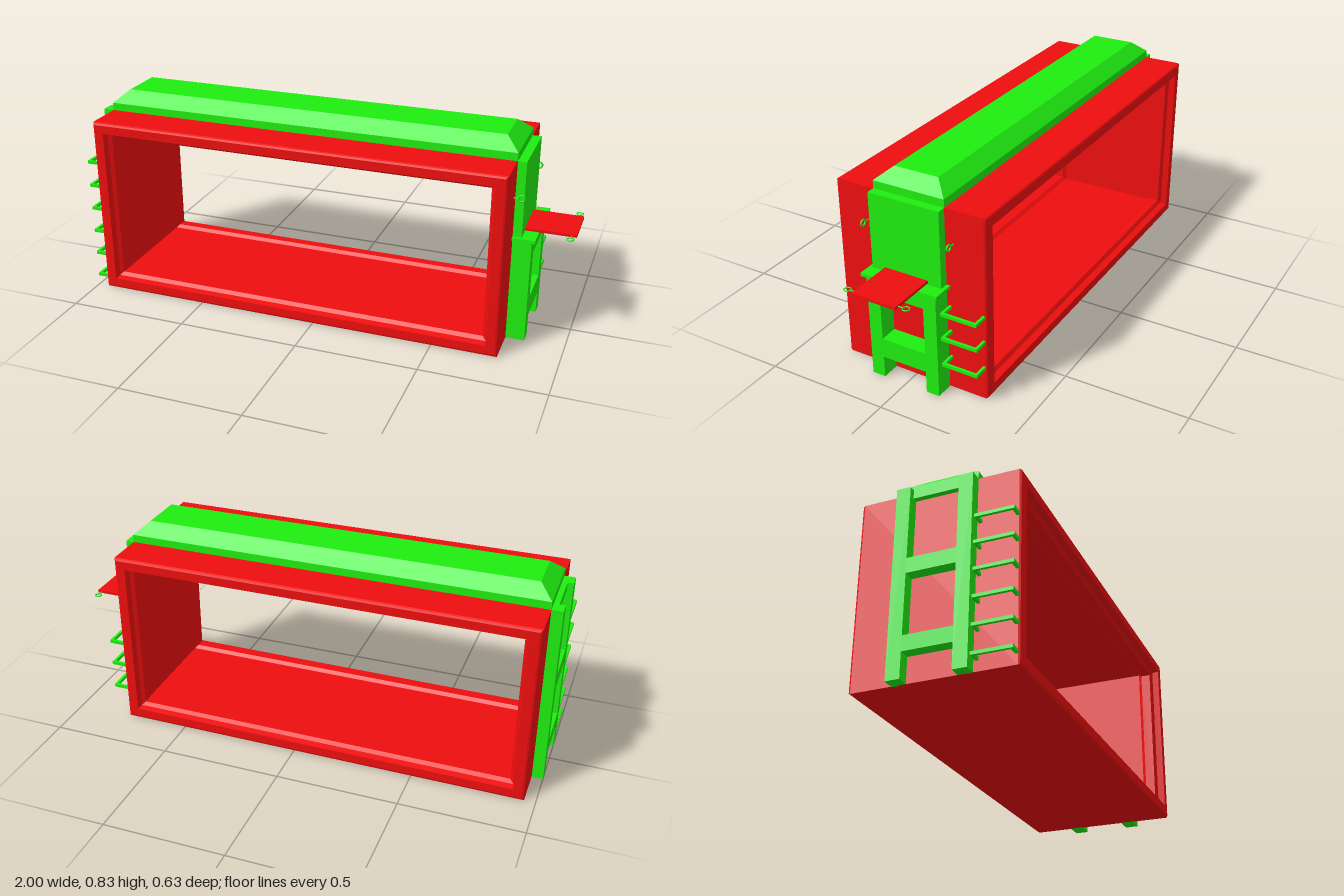
import * as THREE from 'three';

const red = new THREE.MeshStandardMaterial({ color: 0xee0e0e });
const green = new THREE.MeshStandardMaterial({ color: 0x1fee10 });

export function createModel() {
  const model = new THREE.Group();

  function add(name, geometry, material, parent = model) {
    const mesh = new THREE.Mesh(geometry, material);
    mesh.name = name;
    parent.add(mesh);
    return mesh;
  }

  // box given by its limits on each axis
  function box(name, [x0, x1], [y0, y1], [z0, z1], material, parent) {
    const g = new THREE.BoxGeometry(x1 - x0, y1 - y0, z1 - z0);
    g.translate((x0 + x1) / 2, (y0 + y1) / 2, (z0 + z1) / 2);
    return add(name, g, material, parent);
  }

  // flat-faced skin through a list of four-cornered rings
  function loft(rings, closed) {
    const pos = [];
    const count = closed ? rings.length : rings.length - 1;
    for (let i = 0; i < count; i++) {
      const r = rings[i], s = rings[(i + 1) % rings.length];
      for (let j = 0; j < 4; j++) {
        const k = (j + 1) % 4;
        pos.push(...r[j], ...r[k], ...s[k], ...r[j], ...s[k], ...s[j]);
      }
    }
    const g = new THREE.BufferGeometry();
    g.setAttribute('position', new THREE.Float32BufferAttribute(pos, 3));
    g.computeVertexNormals();
    return g;
  }

  // open container body: profile of [inset, z] swept round the rectangle
  const half = [[0, 0.307], [0.003, 0.314], [0.01, 0.317], [0.045, 0.317],
    [0.05, 0.29], [0.065, 0.28], [0.065, 0.24], [0.053, 0.225]];
  const profile = [...half, ...half.map(([d, z]) => [d, -z]).reverse()];
  add('containerBody', loft(profile.map(([d, z]) => [
    [-0.955 + d, d, z], [0.765 - d, d, z],
    [0.765 - d, 0.755 - d, z], [-0.955 + d, 0.755 - d, z],
  ]), true), red);

  // hipped roof strip
  const roofRings = [[-0.955, 0.765, 0.15, 0.75], [-0.955, 0.765, 0.15, 0.787],
    [-0.9, 0.71, 0.093, 0.835], [-0.1, -0.1, 0, 0.835]];
  add('roof', loft(roofRings.map(([a, b, z, y]) =>
    [[a, y, z], [b, y, z], [b, y, -z], [a, y, -z]]), false), green);

  // right-hand end: upper panel, ledge and framed lower part
  const endFrame = new THREE.Group();
  endFrame.name = 'tableEndFrame';
  model.add(endFrame);
  box('upperPanel', [0.76, 0.8], [0.44, 0.755], [-0.15, 0.15], green, endFrame);
  box('ledge', [0.76, 0.855], [0.433, 0.446], [-0.165, 0.165], green, endFrame);
  for (const s of [-1, 1])
    box('post', [0.76, 0.84], [0, 0.434], [s * 0.1225 - 0.0275, s * 0.1225 + 0.0275], green, endFrame);
  box('lowerRail', [0.76, 0.84], [0.09, 0.172], [-0.095, 0.095], green, endFrame);
  box('upperRail', [0.76, 0.84], [0.367, 0.434], [-0.095, 0.095], green, endFrame);

  // folding table with a tie ring on either side
  box('tableBoard', [0.8, 1], [0.452, 0.463], [-0.093, 0.093], red);

  for (const s of [-1, 1]) {
    const tableRing = add('tableRing', new THREE.TorusGeometry(0.013, 0.0025, 8, 24), green);
    tableRing.rotation.x = Math.PI / 2;
    tableRing.position.set(0.98, 0.457, s * 0.125);
    const pin = add('tableRingPin', new THREE.CylinderGeometry(0.0025, 0.0025, 0.03, 8), green);
    pin.rotation.x = Math.PI / 2;
    pin.position.set(0.98, 0.457, s * 0.098);

    // tie rings on the end wall
    const wallRing = add('wallRing', new THREE.TorusGeometry(0.012, 0.0035, 8, 24), green);
    wallRing.position.set(0.795, 0.62, s * 0.183);
    const wallPin = add('wallRingPin', new THREE.CylinderGeometry(0.003, 0.003, 0.024, 8), green);
    wallPin.rotation.z = Math.PI / 2;
    wallPin.position.set(0.773, 0.62, s * 0.183);
  }

  // left-hand end: ladder-like frame with recessed top rail
  const ladder = new THREE.Group();
  ladder.name = 'plainEndFrame';
  model.add(ladder);
  for (const s of [-1, 1])
    box('post', [-1, -0.95], [0, 0.755], [s * 0.1225 - 0.0275, s * 0.1225 + 0.0275], green, ladder);
  box('topRail', [-0.976, -0.95], [0.72, 0.755], [-0.095, 0.095], green, ladder);
  box('middleRail', [-1, -0.95], [0.4, 0.46], [-0.095, 0.095], green, ladder);
  box('lowerRail', [-1, -0.95], [0.1, 0.16], [-0.095, 0.095], green, ladder);

  // U-shaped climbing rungs: wall x, outer x, height, side of z
  function rung(wall, outer, y, side) {
    const group = new THREE.Group();
    group.name = 'rung';
    model.add(group);
    const t = 0.011, dir = Math.sign(outer - wall);
    const span = (a, b) => [Math.min(a, b), Math.max(a, b)];
    const h = [y - 0.0065, y + 0.0065];
    box('grip', span(outer, outer - dir * t), h, span(side * 0.158, side * 0.309), green, group);
    for (const z of [0.158, 0.309 - t])
      box('arm', span(wall - dir * 0.005, outer - dir * t), h, span(side * z, side * (z + t)), green, group);
  }
  for (const y of [0.137, 0.25, 0.355]) rung(0.765, 0.827, y, -1);
  for (let i = 0; i < 6; i++) rung(-0.955, -1, 0.047 + i * 0.105, 1);

  return model;
}
